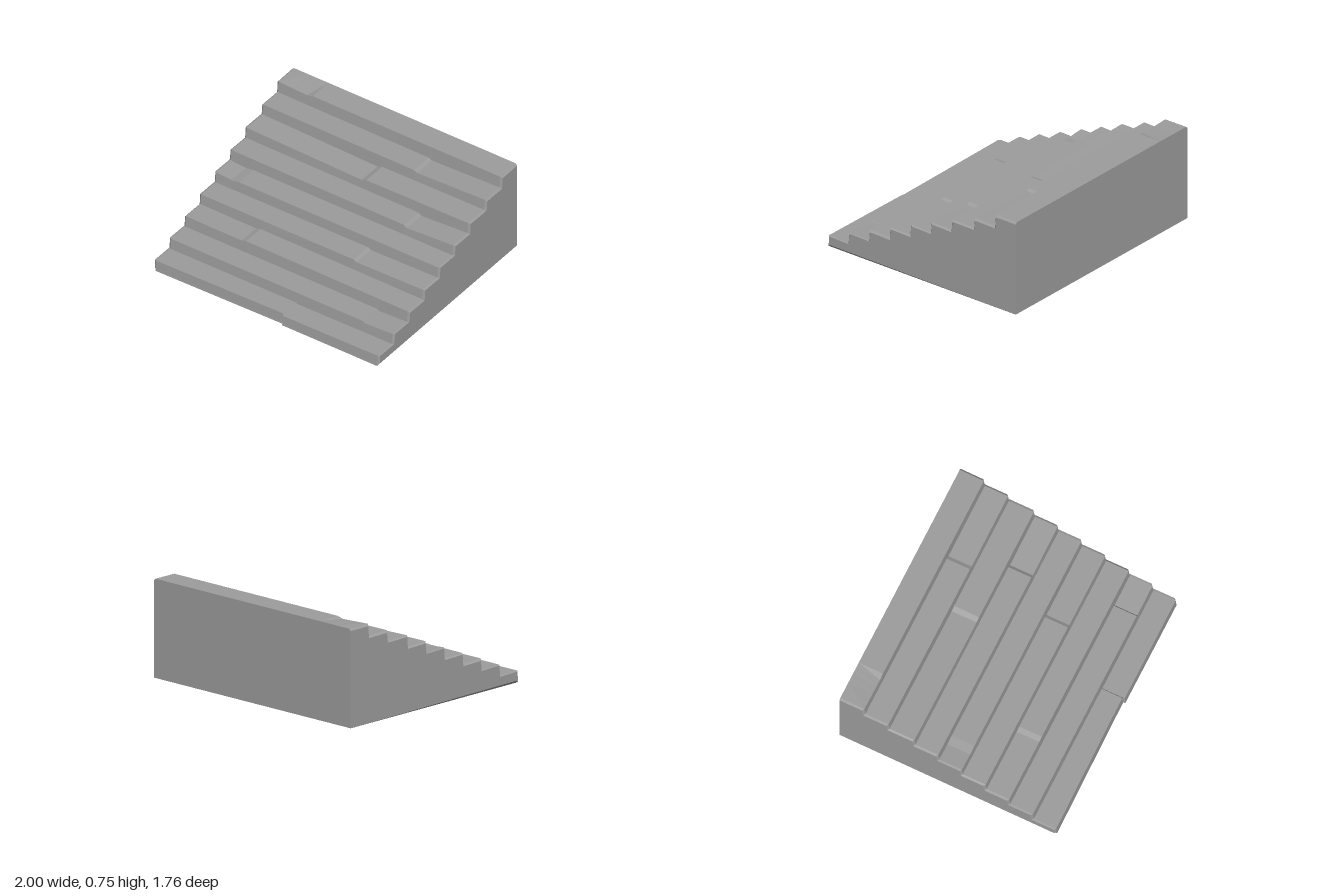
import * as THREE from 'three';

// Each step: z of the nosing, drop of the bevelled ends, worn top edge as [x, y] points
const STEPS = [
  { z: 0.873, drop: 0.003, edge: [[-1, 0.09], [0.135, 0.092], [0.142, 0.083], [1, 0.09]] },
  { z: 0.684, drop: 0.003, edge: [[-1, 0.172], [0.725, 0.173], [0.735, 0.16], [1, 0.172]] },
  { z: 0.492, drop: 0.015, edge: [[-1, 0.257], [-0.49, 0.253], [-0.45, 0.265], [1, 0.257]] },
  { z: 0.300, drop: 0.008, edge: [[-1, 0.335], [0.37, 0.34], [0.395, 0.325], [1, 0.335]] },
  { z: 0.107, drop: 0.005, edge: [[-1, 0.417], [-0.85, 0.405], [-0.78, 0.415], [1, 0.417]] },
  { z: -0.085, drop: 0.012, edge: [[-1, 0.5], [0.55, 0.493], [0.575, 0.475], [1, 0.5]] },
  { z: -0.278, drop: 0.008, edge: [[-1, 0.583], [0.04, 0.558], [0.08, 0.573], [1, 0.58]] },
  { z: -0.488, drop: 0.015, edge: [[-1, 0.663], [0.357, 0.656], [0.385, 0.642], [1, 0.662]] },
  { z: -0.684, drop: 0.015, edge: [[-1, 0.75], [-0.73, 0.737], [-0.68, 0.75], [1, 0.75]] },
];
const BACK = -0.88;
const TOP = 0.75;
const BEVEL = 0.015;
const CHIP = [[-1, 0], [0.135, -0.016], [0.142, 0], [1, 0]]; // set-back of the lowest riser

// Piecewise linear lookup
function lerpAt(points, x) {
  let i = 0;
  while (i < points.length - 2 && x > points[i + 1][0]) i++;
  const [x0, y0] = points[i], [x1, y1] = points[i + 1];
  return THREE.MathUtils.lerp(y0, y1, (x - x0) / (x1 - x0));
}

// Surface through rows of points, facing out when columns run right and rows run up
function surface(name, rows, material) {
  const cols = rows[0].length, index = [];
  for (let r = 0; r < rows.length - 1; r++) {
    for (let c = 0; c < cols - 1; c++) {
      const a = r * cols + c, b = a + 1, d = a + cols, e = d + 1;
      index.push(a, b, e, a, e, d);
    }
  }
  const geometry = new THREE.BufferGeometry();
  geometry.setAttribute('position', new THREE.Float32BufferAttribute(rows.flat(2), 3));
  geometry.setIndex(index);
  geometry.computeVertexNormals();
  const mesh = new THREE.Mesh(geometry, material);
  mesh.name = name;
  return mesh;
}

export function createModel() {
  const group = new THREE.Group();
  group.name = 'staircase';
  const material = new THREE.MeshStandardMaterial({
    color: 0x9c9c9c, flatShading: true, side: THREE.DoubleSide,
  });

  // Shared columns: every break in every step, plus the bevelled ends
  const breaks = STEPS.flatMap((s) => s.edge.map((p) => p[0]));
  const xs = [...new Set([...breaks, -1 + BEVEL, 1 - BEVEL])].sort((a, b) => a - b);
  const atEnd = (x) => Math.abs(x) === 1;
  const setBack = (x, z) => (atEnd(x) ? z - 0.012 : z);

  // Treads and risers, from the front foot up to the top back edge
  const rows = [];
  const frontZ = (x, z) => setBack(x, z) + lerpAt(CHIP, x);
  rows.push(xs.map((x) => [atEnd(x) ? x * (1 - BEVEL) : x, 0, frontZ(x, 0.88)]));
  rows.push(xs.map((x) => [x, 0.02, frontZ(x, 0.878)]));
  STEPS.forEach((s, i) => {
    const next = STEPS[i + 1];
    const end = (x, y) => (atEnd(x) ? y - s.drop : y);
    const height = (x) => end(x, lerpAt(s.edge, x));
    rows.push(xs.map((x) => [x, height(x), i === 0 ? frontZ(x, s.z) : setBack(x, s.z)]));
    rows.push(xs.map((x) => (next
      ? [x, height(x) - 0.005, setBack(x, next.z + 0.008)]
      : [x, end(x, TOP), BACK])));
  });
  group.add(surface('steps', rows, material));

  // Back wall
  const top = rows[rows.length - 1];
  group.add(surface('backWall', [
    xs.map((x) => [x, 0, BACK]).reverse(), [...top].reverse(),
  ], material));

  // Side walls, following the step profile, with a tapering tuck along the bottom
  for (const side of [-1, 1]) {
    const col = side < 0 ? 0 : xs.length - 1;
    const profile = rows.slice(1).map((r) => r[col]);
    const zFront = profile[0][2];
    const taper = (z) => (z - BACK) / (zFront - BACK);
    const walls = [
      profile.map(([, , z]) => [side * (1 - BEVEL * taper(z)), 0, z]),
      profile.map(([, , z]) => [side, 0.02 * taper(z), z]),
      profile,
    ];
    if (side < 0) walls.forEach((w) => w.reverse());
    group.add(surface(side < 0 ? 'rightWall' : 'leftWall', walls, material));
  }
  return group;
}
